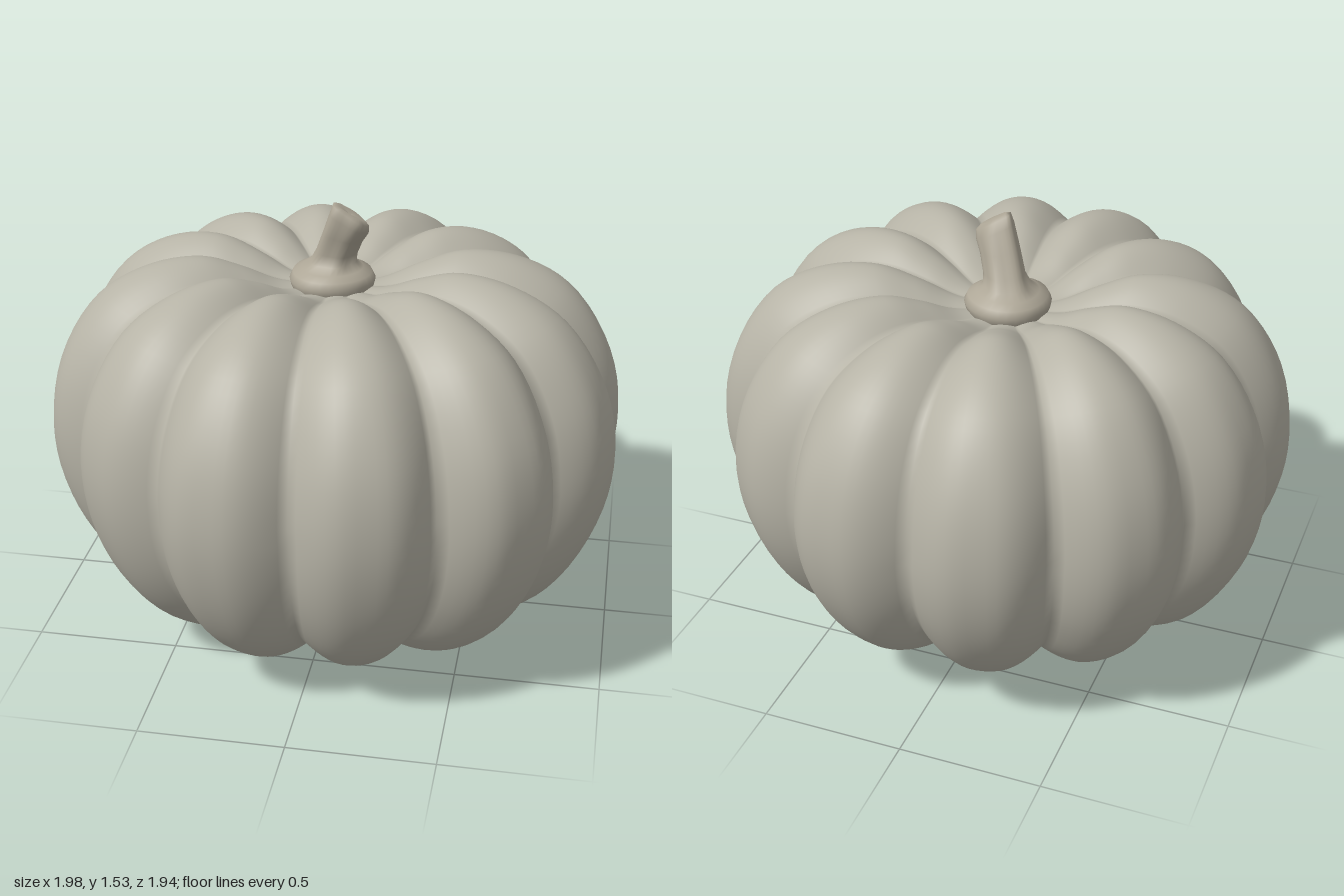
import * as THREE from 'three';

const skin = new THREE.MeshStandardMaterial({ color: 0xb6b3a6 });
const wood = new THREE.MeshStandardMaterial({ color: 0xaea797 });

// Closed-ring grid: point(i, j) gives the vertex of row i (bottom to top) and column j.
function loft(rows, cols, point) {
  const positions = [], index = [];
  for (let i = 0; i < rows; i++)
    for (let j = 0; j < cols; j++) positions.push(...point(i, j));
  for (let i = 0; i < rows - 1; i++)
    for (let j = 0; j < cols; j++) {
      const k = (j + 1) % cols;
      const a = i * cols + j, b = i * cols + k, c = a + cols, d = b + cols;
      index.push(a, c, b, b, c, d);
    }
  const geometry = new THREE.BufferGeometry();
  geometry.setAttribute('position', new THREE.Float32BufferAttribute(positions, 3));
  geometry.setIndex(index);
  geometry.computeVertexNormals();
  return geometry;
}

const spline = (pts) =>
  new THREE.CatmullRomCurve3(pts.map(([r, y]) => new THREE.Vector3(r, y, 0)), false, 'centripetal');

// Ribbed body: blends a groove profile and a crest profile around twelve lobes.
function bodyGeometry() {
  const crest = spline([
    [0.002, 0.11], [0.11, 0.11], [0.15, 0.05], [0.31, 0.0], [0.56, 0.05], [0.8, 0.2], [0.95, 0.43],
    [1.01, 0.7], [0.97, 0.97], [0.83, 1.195], [0.65, 1.3], [0.46, 1.327], [0.32, 1.285], [0.18, 1.225], [0.002, 1.21],
  ]);
  const groove = spline([
    [0.002, 0.11], [0.11, 0.11], [0.17, 0.08], [0.31, 0.05], [0.52, 0.11], [0.74, 0.26], [0.87, 0.47],
    [0.91, 0.7], [0.87, 0.95], [0.75, 1.15], [0.58, 1.245], [0.43, 1.265], [0.3, 1.245], [0.18, 1.215], [0.002, 1.21],
  ]);
  // How far each lobe swells beyond the average radius.
  const swell = [0, 0.02, 0, 0, -0.022, 0, 0, 0, 0, 0, -0.022, 0];
  const perLobe = 16, cols = swell.length * perLobe, rows = 71;
  const p = new THREE.Vector3(), q = new THREE.Vector3();
  return loft(rows, cols, (i, j) => {
    const t = i / (rows - 1);
    const angle = (j / cols) * Math.PI * 2;
    const u = (j % perLobe) / perLobe;
    crest.getPoint(t, p);
    groove.getPoint(t, q);
    // Lobes are broad at the waist and rounder towards top and bottom.
    const broad = Math.sin(Math.min(1, Math.min(u, 1 - u) / 0.4) * Math.PI / 2);
    const round = Math.sin(u * Math.PI);
    const w = THREE.MathUtils.lerp(broad, round, Math.min(1, ((p.y - 0.68) / 0.66) ** 2));
    q.lerp(p, w);
    const r = q.x * (1 + swell[Math.floor(j / perLobe)] * w);
    // The ribs gather off-centre: to the back at the stem, to the front underneath.
    const inner = Math.max(0, 1 - r);
    const top = q.y > 0.7;
    const x = r * Math.cos(angle) + (top ? -0.03 : 0.005) * inner;
    const z = r * Math.sin(angle) * 0.98 + (top ? -0.05 : 0.06) * inner * Math.min(1, Math.abs(q.y - 0.7) / 0.3);
    return [x, q.y * (1 + 0.02 * z), z];
  });
}

// Stem: flared collar, leaning stalk and a slanted cut top. Rows are [x, y, z, radius, slant, depth].
function stemGeometry() {
  const sections = [
    [-0.03, 1.18, -0.05, 0.12, 0, 1], [-0.03, 1.205, -0.05, 0.143, 0, 1], [-0.03, 1.235, -0.05, 0.15, 0, 1],
    [-0.03, 1.26, -0.05, 0.138, 0, 1], [-0.03, 1.275, -0.05, 0.108, 0, 1], [-0.027, 1.295, -0.052, 0.08, 0, 1],
    [-0.015, 1.33, -0.045, 0.071, -0.05, 0.85], [0.012, 1.4, -0.015, 0.068, -0.2, 0.8],
    [0.038, 1.46, 0.007, 0.066, -0.5, 0.75], [0.046, 1.49, 0.014, 0.061, -0.6, 0.6],
    [0.047, 1.5, 0.015, 0.045, -0.6, 0.5], [0.045, 1.49, 0.015, 0.002, 0, 1],
  ];
  const cols = 30;
  return loft(sections.length, cols, (i, j) => {
    const [cx, y, cz, radius, slant, depth] = sections[i];
    const a = (j / cols) * Math.PI * 2;
    const ridge = i > 4 ? 1 + 0.06 * Math.cos(5 * a + 0.6) : 1 + 0.02 * Math.cos(3 * a);
    const dx = radius * ridge * Math.cos(a);
    const dz = radius * ridge * Math.sin(a) * depth;
    return [cx + dx, y + slant * dx, cz + dz];
  });
}

export function createModel() {
  const group = new THREE.Group();
  group.name = 'pumpkin';
  const body = new THREE.Mesh(bodyGeometry(), skin);
  body.name = 'ribbedBody';
  const stem = new THREE.Mesh(stemGeometry(), wood);
  stem.name = 'stem';
  group.add(body, stem);
  return group;
}
